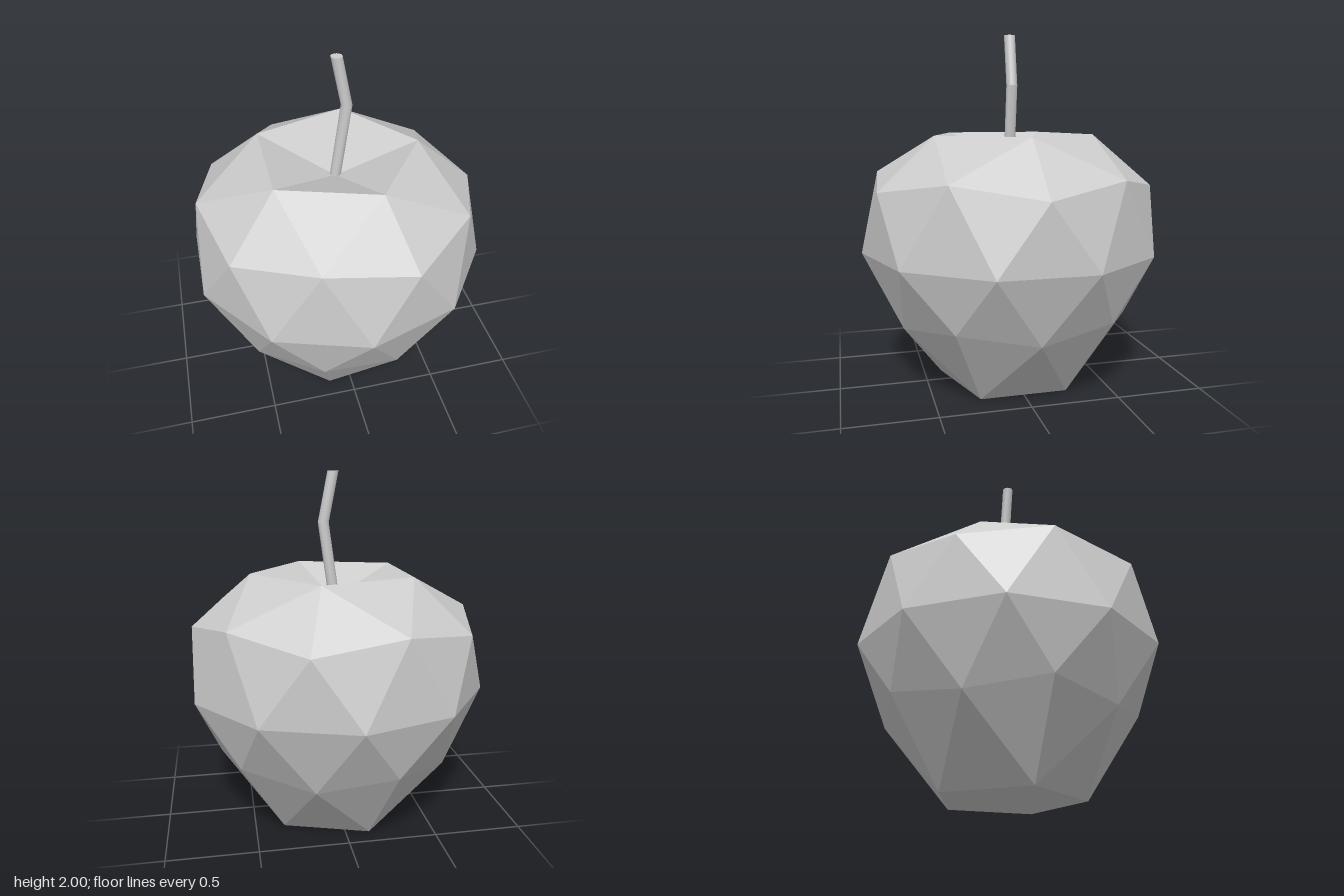
import * as THREE from 'three';
import { toCreasedNormals } from 'three/addons/utils/BufferGeometryUtils.js';

// A ring of n points; radius and height may alternate between two values
function ring(n, startDeg, radii, heights) {
  return Array.from({ length: n }, (_, i) => {
    const a = THREE.MathUtils.degToRad(startDeg + (i * 360) / n);
    const r = radii[i % radii.length];
    return [r * Math.cos(a) - 0.004, heights[i % heights.length], r * Math.sin(a)];
  });
}

// Faceted fruit: geodesic rings with a hollow at each pole
function fruitGeometry() {
  const topPole = [0, 1.285, 0];
  const bottomPole = [0, 0.13, 0];
  const rim = ring(5, 0, [0.48], [1.445]);
  const shoulder = ring(10, 0, [0.815, 0.782], [1.155, 1.225]);
  const belly = ring(10, 18, [0.854], [0.787]);
  const taper = ring(10, 0, [0.68, 0.72], [0.395, 0.458]);
  const base = ring(5, 36, [0.42], [0]);

  const points = [];
  const tri = (a, b, c) => points.push(...a, ...b, ...c);
  const at = (r, i) => r[(i + r.length) % r.length];

  // Hollows, rim and base
  for (let k = 0; k < 5; k++) {
    const A = rim[k], A2 = at(rim, k + 1), B = base[k], B2 = at(base, k + 1);
    tri(topPole, A2, A);
    tri(A, at(shoulder, 2 * k), at(shoulder, 2 * k - 1));
    tri(A, at(shoulder, 2 * k + 1), at(shoulder, 2 * k));
    tri(at(shoulder, 2 * k + 1), A, A2);

    tri(bottomPole, B, B2);
    tri(B, at(taper, 2 * k), at(taper, 2 * k + 1));
    tri(B, at(taper, 2 * k + 1), at(taper, 2 * k + 2));
    tri(at(taper, 2 * k + 2), B2, B);
  }
  // Zigzag bands above and below the belly
  for (let j = 0; j < 10; j++) {
    tri(shoulder[j], belly[j], at(belly, j - 1));
    tri(belly[j], shoulder[j], at(shoulder, j + 1));
    tri(belly[j], at(taper, j + 1), taper[j]);
    tri(taper[j], at(belly, j - 1), belly[j]);
  }

  const geo = new THREE.BufferGeometry();
  geo.setAttribute('position', new THREE.Float32BufferAttribute(points, 3));
  geo.computeVertexNormals(); // unshared corners give flat facets
  return geo;
}

// Stem: a cylinder whose three rings are slid sideways to make a bend
function stemGeometry() {
  const path = [[0.005, 2], [0.06, 1.72], [-0.003, 1.275]];
  const geo = new THREE.CylinderGeometry(0.031, 0.031, 2, 24, 2);
  const pos = geo.attributes.position;
  for (let i = 0; i < pos.count; i++) {
    const [x, y] = path[Math.round(1 - pos.getY(i))];
    pos.setX(i, pos.getX(i) + x);
    pos.setY(i, y);
  }
  return toCreasedNormals(geo, 0.3);
}

export function createModel() {
  const grey = new THREE.MeshStandardMaterial({ color: 0xcccccc });
  grey.name = 'light grey';

  const group = new THREE.Group();
  group.name = 'apple';
  const parts = { fruit: fruitGeometry(), stem: stemGeometry() };
  for (const [name, geo] of Object.entries(parts)) {
    const mesh = new THREE.Mesh(geo, grey);
    mesh.name = name;
    group.add(mesh);
  }
  return group;
}
